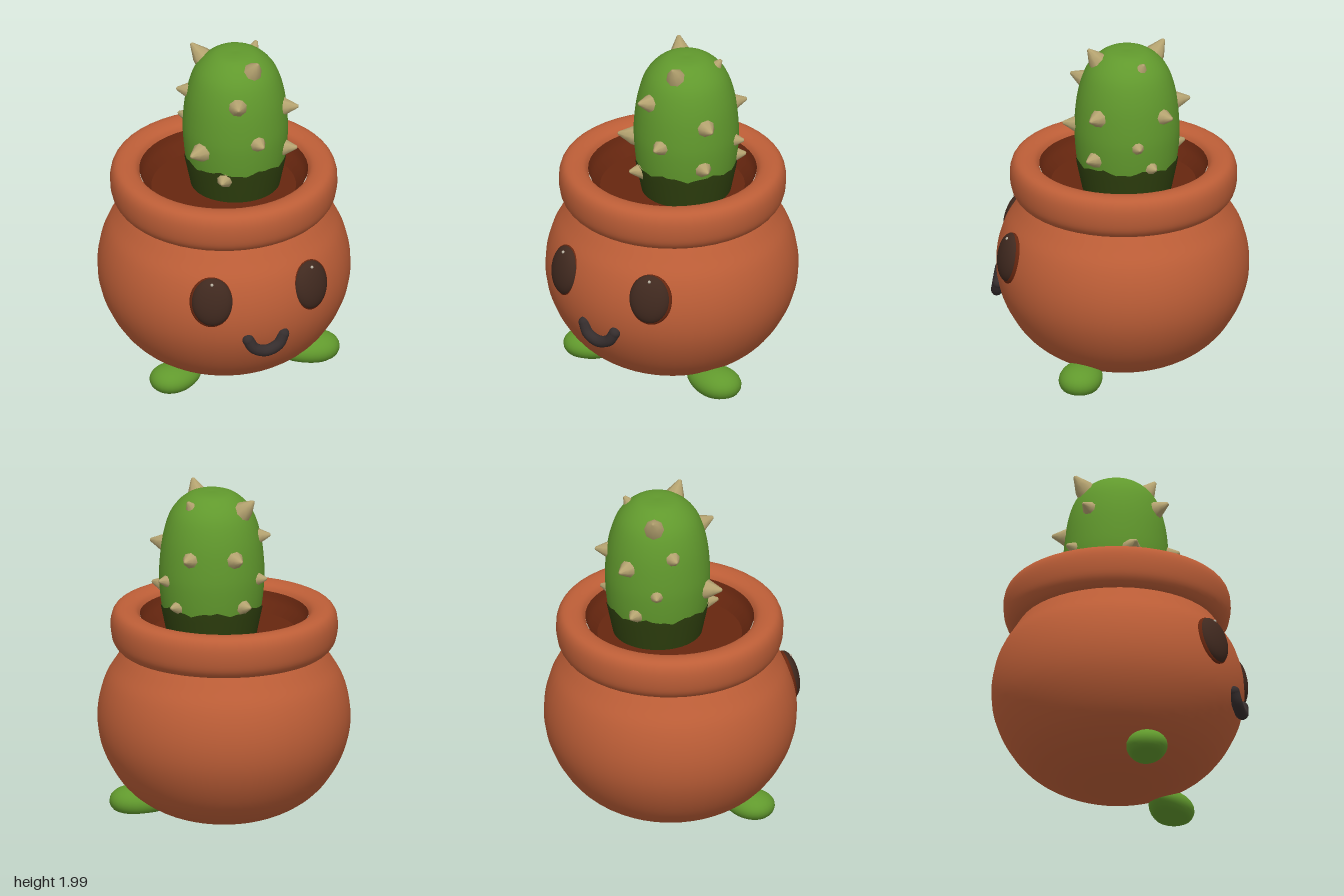
import * as THREE from 'three';

const paint = (name, color, side = THREE.FrontSide) => {
  const m = new THREE.MeshStandardMaterial({ color, side });
  m.name = name;
  return m;
};
const v2 = (pts) => pts.map(([x, y]) => new THREE.Vector2(x, y));

// Smooth lathe through a few profile points
const smoothLathe = (pts, steps, segments) =>
  new THREE.LatheGeometry(
    new THREE.SplineCurve(v2(pts)).getPoints(steps).map((p) => new THREE.Vector2(Math.max(p.x, 0), p.y)),
    segments
  );

export function createModel() {
  const model = new THREE.Group();
  model.name = 'pottedCactus';

  const clay = paint('terracotta', 0xbd5e37);
  const soilBrown = paint('dark soil', 0x66260f);
  const green = paint('cactus green', 0x61992d);
  const darkGreen = paint('dark cactus green', 0x2e3f0e);
  const tan = paint('spike tan', 0xb5a370);
  const eyeBrown = paint('eye brown', 0x40291f);
  const mouthGrey = paint('mouth charcoal', 0x352d2d);
  const glintGrey = paint('eye glint', 0xb8b0a0);

  const add = (name, geometry, material, x = 0, y = 0, z = 0, parent = model) => {
    const mesh = new THREE.Mesh(geometry, material);
    mesh.name = name;
    mesh.position.set(x, y, z);
    parent.add(mesh);
    return mesh;
  };

  // Pot: round body, rolled rim, dark inner wall and soil
  const potZ = -0.02;
  add('potBody', smoothLathe([
    [0, 0.01], [0.2, 0.02], [0.35, 0.06], [0.48, 0.13], [0.58, 0.22], [0.66, 0.34], [0.712, 0.47],
    [0.73, 0.6], [0.718, 0.73], [0.68, 0.85], [0.62, 0.95], [0.57, 1.03],
  ], 44, 48), clay, 0, 0, potZ);
  add('potRim', smoothLathe([
    [0.55, 1.02], [0.6, 1.025], [0.64, 1.07], [0.655, 1.14], [0.652, 1.21], [0.63, 1.255],
    [0.59, 1.272], [0.54, 1.268], [0.505, 1.25], [0.485, 1.215],
  ], 36, 48), clay, 0, 0, potZ - 0.005);
  add('innerWall', smoothLathe([[0.487, 1.23], [0.47, 1.19], [0.44, 1.15], [0.41, 1.11]], 10, 48),
    soilBrown, 0, 0, potZ - 0.005);
  add('soil', new THREE.CircleGeometry(0.43, 48).rotateX(-Math.PI / 2), soilBrown, 0, 1.12, potZ - 0.005);

  // Cactus: domed column with a ragged dark band at its foot
  const cactus = new THREE.Group();
  cactus.name = 'cactus';
  cactus.position.set(0.08, 0, -0.05);
  model.add(cactus);
  add('cactusBody', smoothLathe([
    [0.25, 1.1], [0.285, 1.27], [0.302, 1.42], [0.303, 1.54], [0.286, 1.7], [0.25, 1.83],
    [0.2, 1.91], [0.13, 1.965], [0.06, 1.98], [0, 1.98],
  ], 36, 32), green, 0, 0, 0, cactus);

  const band = new THREE.LatheGeometry(v2([[0.254, 1.1], [0.289, 1.27], [0.297, 1.32]]), 48);
  const bp = band.attributes.position;
  for (let i = 0; i < bp.count; i++) {
    if (bp.getY(i) < 1.3) continue;
    const a = Math.atan2(bp.getX(i), bp.getZ(i));
    bp.setY(i, 1.318 + 0.01 * Math.sin(a * 7) + 0.006 * Math.sin(a * 17));
  }
  add('cactusFoot', band, darkGreen, 0, 0, 0, cactus);

  // Spikes, each placed by its tip and pointing away from the column's core
  const spikeShape = new THREE.LatheGeometry(
    v2([[0.066, -0.14], [0.054, -0.085], [0.032, -0.045], [0.01, -0.004], [0, 0]]), 8);
  const tips = [
    [-0.12, 1.965, -0.25], [0.25, 1.96, -0.16], [0.14, 2.0, 0.17], [-0.24, 1.73, -0.17],
    [-0.265, 1.45, 0.15], [-0.02, 1.78, 0.285], [0.12, 1.525, 0.32], [0.4, 1.655, 0.14],
    [0.385, 1.395, 0.16], [0.42, 1.49, -0.15], [0.31, 1.65, -0.33], [0.37, 1.35, -0.24],
    [-0.01, 1.65, -0.41], [-0.07, 1.36, -0.375], [-0.19, 1.5, -0.28], [-0.11, 1.29, 0.25],
  ];
  const up = new THREE.Vector3(0, 1, 0);
  for (const t of tips) {
    const tip = new THREE.Vector3(...t);
    const core = new THREE.Vector3(0.08, Math.min(t[1] - 0.04, 1.68), -0.05);
    const spike = add('spike', spikeShape, tan, ...t);
    spike.quaternion.setFromUnitVectors(up, tip.sub(core).normalize());
  }

  // Eyes: flattened ovals lying on the pot, each with a dark edge and a tiny glint
  const oval = new THREE.SphereGeometry(1, 28, 20);
  for (const s of [-1, 1]) {
    const eye = new THREE.Group();
    eye.name = s > 0 ? 'leftEye' : 'rightEye';
    eye.position.set(s * 0.3, 0.745, 0.612);
    eye.rotation.set(-0.18, s * 0.42, 0, 'YXZ');
    model.add(eye);
    add('eyeball', oval, eyeBrown, 0, 0, 0, eye).scale.set(0.12, 0.146, 0.06);
    add('eyeEdge', oval, soilBrown, s * 0.004, -0.004, -0.004, eye).scale.set(0.128, 0.152, 0.04);
    add('glint', oval, glintGrey, 0, 0.115, 0.037, eye).scale.setScalar(0.009);
  }

  // Mouth: a smiling tube with round ends
  const smile = new THREE.CatmullRomCurve3([
    [-0.108, 0.498, 0.692], [-0.075, 0.442, 0.702], [0, 0.415, 0.706], [0.075, 0.442, 0.702], [0.108, 0.498, 0.692],
  ].map((p) => new THREE.Vector3(...p)));
  add('mouth', new THREE.TubeGeometry(smile, 28, 0.034, 12), mouthGrey);
  for (const s of [-1, 1]) add('mouthEnd', oval, mouthGrey, s * 0.108, 0.498, 0.692).scale.setScalar(0.034);

  // Feet: ovals with flat soles, tapering towards the pot
  const footShape = (sx, sy, sz) => {
    const g = new THREE.SphereGeometry(1, 28, 20);
    const p = g.attributes.position;
    for (let i = 0; i < p.count; i++) {
      const x = p.getX(i);
      const taper = 0.84 + 0.16 * x;
      p.setXYZ(i, x * sx, Math.max(p.getY(i) * sy * taper, -0.055), p.getZ(i) * sz * taper);
    }
    g.computeVertexNormals();
    return g;
  };
  add('leftFoot', footShape(0.185, 0.105, 0.145), green, 0.44, 0.068, 0.185).rotation.y = -0.15;
  add('rightFoot', footShape(0.165, 0.095, 0.14), green, -0.385, 0.065, 0.24).rotation.y = Math.PI + 0.3;

  return model;
}
